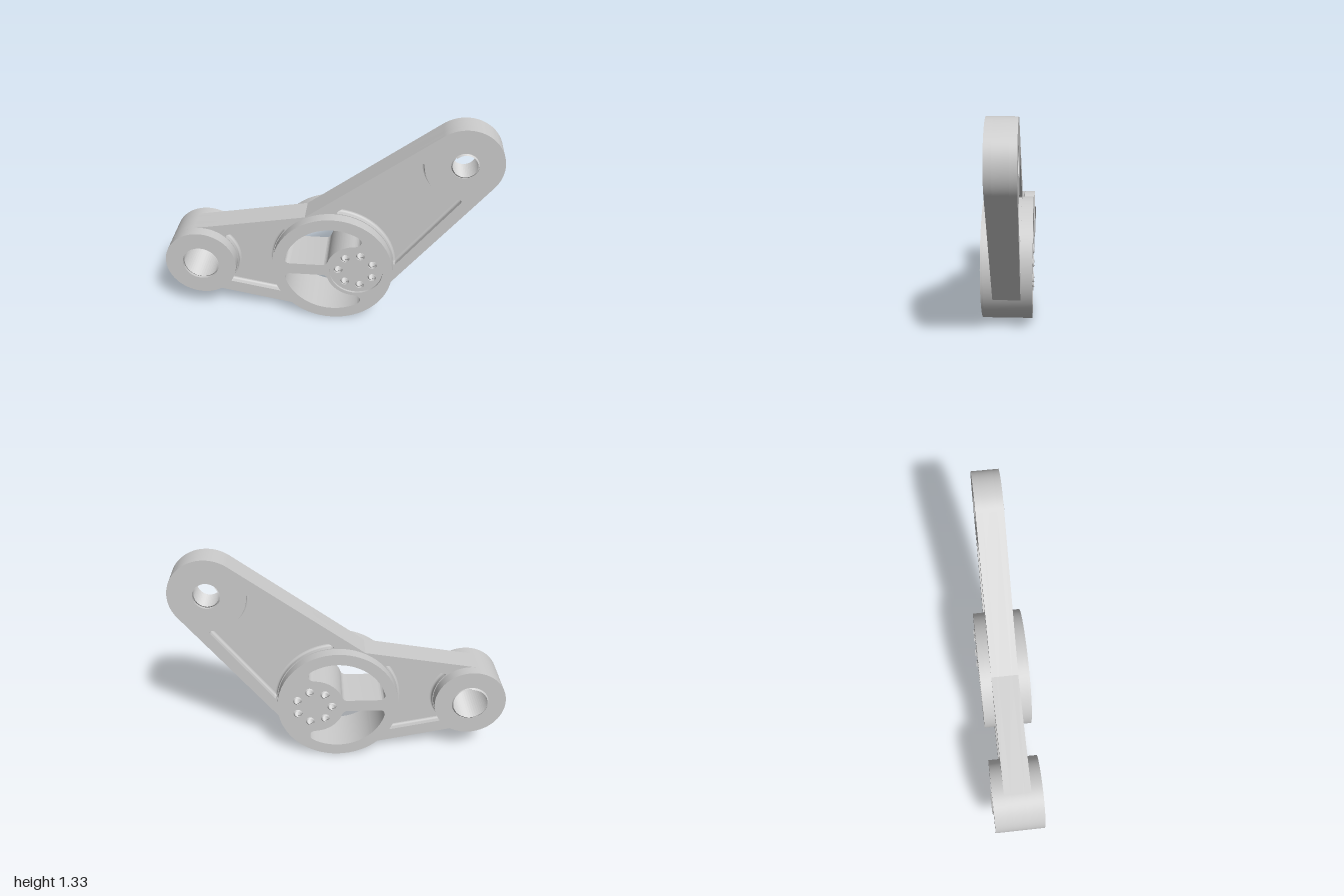
import * as THREE from 'three';
import { toCreasedNormals } from 'three/addons/utils/BufferGeometryUtils.js';

const HUB = { x: 0.035, y: 0.37, r: 0.37 };
const TALL = [-0.143, 0.155];   // hub and left boss, z range
const ARM = [-0.075, 0.087];    // arms, z range
const WEB = [-0.036, 0.048];    // thin floor between the pockets
const DISC = { x: 0.148, r: 0.163 };
const TOOTH = 0.008, PITCH = 0.014;

const steel = new THREE.MeshStandardMaterial({ color: 0xcccccc });
const thin = new THREE.MeshStandardMaterial({ color: 0xcccccc, side: THREE.DoubleSide });
const threadMat = new THREE.MeshStandardMaterial({ color: 0xcccccc, side: THREE.DoubleSide, flatShading: true });

function add(group, name, geo, mat = steel) {
  const mesh = new THREE.Mesh(geo, mat);
  mesh.name = name;
  group.add(mesh);
  return mesh;
}

function circle(x, y, r) {
  return new THREE.Shape().absarc(x, y, r, 0, Math.PI * 2, false);
}

// Flat plate between two z values
function plate(shape, holes, [z0, z1]) {
  const s = shape.clone();
  s.holes = holes;
  const geo = new THREE.ExtrudeGeometry(s, { depth: z1 - z0, bevelEnabled: false, curveSegments: 32 });
  geo.translate(0, 0, z0);
  return toCreasedNormals(geo, 0.5);
}

// Helical screw thread lining a bore; its start stands slightly proud at one end
function thread(r, [z0, z1], segments, proudFront = false) {
  const pts = [];
  const n = Math.floor((z1 - z0) / PITCH) * 2;
  for (let i = 0; i <= n; i++) pts.push(new THREE.Vector2(i % 2 ? r + TOOTH : r, i * PITCH / 2));
  const geo = new THREE.LatheGeometry(pts.reverse(), segments);
  const p = geo.attributes.position;
  const row = pts.length;
  for (let i = 0; i < p.count; i++) {
    p.setY(i, p.getY(i) + Math.floor(i / row) / segments * PITCH - 0.011);
  }
  geo.rotateX(Math.PI / 2);
  if (proudFront) geo.rotateX(Math.PI);
  geo.translate(0, 0, proudFront ? z1 : z0);
  return geo;
}

// Pocket outline in arm space: hub at the origin, boss at (d, 0)
function pocketShape(d, R2, beta) {
  const inset = 0.075, rh = HUB.r + 0.004, rb = R2 + 0.004;
  const a = Math.PI / 2 - beta - Math.acos((HUB.r - inset) / rh);
  const b = Math.PI / 2 - beta + Math.acos((R2 - inset) / rb);
  const A = new THREE.Vector2(rh * Math.cos(a), rh * Math.sin(a));
  const B = new THREE.Vector2(d + rb * Math.cos(b), rb * Math.sin(b));
  const t = 0.035 / A.distanceTo(B);
  const p = A.clone().lerp(B, t), q = B.clone().lerp(A, t);
  const s = new THREE.Shape();
  s.absarc(0, 0, rh, -a + 0.09, a - 0.09, false);
  s.quadraticCurveTo(A.x, A.y, p.x, p.y);
  s.lineTo(q.x, q.y);
  s.quadraticCurveTo(B.x, B.y, d + rb * Math.cos(b + 0.13), rb * Math.sin(b + 0.13));
  s.absarc(d, 0, rb, b + 0.13, Math.PI * 2 - b - 0.13, false);
  s.quadraticCurveTo(B.x, -B.y, q.x, -q.y);
  s.lineTo(p.x, -p.y);
  s.quadraticCurveTo(A.x, -A.y, rh * Math.cos(a - 0.09), -rh * Math.sin(a - 0.09));
  return s;
}

// Rounded strip where the pocket wall meets its floor
function fillet(shape, floor, dir) {
  const pts = shape.getPoints(12);
  if (pts[0].distanceTo(pts[pts.length - 1]) < 1e-5) pts.pop();
  const n = pts.length, f = 0.013, steps = 4, pos = [], idx = [];
  for (let k = 0; k <= steps; k++) {
    const phi = k / steps * Math.PI / 2;
    const off = f * (1 - Math.cos(phi)), h = f * (1 - Math.sin(phi)) + 0.0004;
    pts.forEach((c, i) => {
      const t = pts[(i + 1) % n].clone().sub(pts[(i + n - 1) % n]).normalize();
      pos.push(c.x + t.y * off, c.y - t.x * off, floor + dir * h);
      if (k < steps) {
        const j = (i + 1) % n, u = k * n;
        idx.push(u + i, u + j, u + n + i, u + j, u + n + j, u + n + i);
      }
    });
  }
  const geo = new THREE.BufferGeometry();
  geo.setAttribute('position', new THREE.Float32BufferAttribute(pos, 3));
  geo.setIndex(idx);
  geo.computeVertexNormals();
  return geo;
}

// Tapered arm from the hub to a round boss, pocketed on both faces
function makeArm(name, bx, by, R2, bore, bossZ, proudFront) {
  const arm = new THREE.Group();
  arm.name = name;
  arm.position.set(HUB.x, HUB.y, 0);
  arm.rotation.z = Math.atan2(by - HUB.y, bx - HUB.x);
  const d = Math.hypot(bx - HUB.x, by - HUB.y);
  const beta = Math.asin((HUB.r - R2) / d), tan = Math.PI / 2 - beta;

  const outline = new THREE.Shape();
  outline.moveTo(HUB.r * Math.cos(tan), -HUB.r * Math.sin(tan));
  outline.absarc(d, 0, R2, -tan, tan, false);
  outline.lineTo(HUB.r * Math.cos(tan), HUB.r * Math.sin(tan));
  outline.absarc(0, 0, HUB.r - 0.01, tan, -tan, true);

  const hole = circle(d, 0, bore + TOOTH);
  const pocket = pocketShape(d, R2, beta);
  add(arm, 'web', plate(outline, [hole], WEB));
  add(arm, 'frontRim', plate(outline, [hole, pocket], [WEB[1], ARM[1]]));
  add(arm, 'backRim', plate(outline, [hole, pocket], [ARM[0], WEB[0]]));
  add(arm, 'frontPocketFillet', fillet(pocket, WEB[1], 1), thin);
  add(arm, 'backPocketFillet', fillet(pocket, WEB[0], -1), thin);
  if (bossZ !== ARM) add(arm, 'boss', plate(circle(d, 0, R2), [hole], bossZ));
  add(arm, 'boreThread', thread(bore, bossZ, 48, proudFront), threadMat).position.x = d;
  return arm;
}

// Curved opening in the hub; side is 1 for upper, -1 for lower
function windowShape(side) {
  const s = new THREE.Shape();
  const deg = Math.PI / 180, R = 0.298;
  s.absarc(0, 0, R, 166 * deg, 58.7 * deg, true);
  s.quadraticCurveTo(0.178, 0.24, 0.178, 0.222);
  s.quadraticCurveTo(0.178, 0.187, 0.13, 0.184);
  s.absarc(DISC.x, 0, 0.185, 95.5 * deg, 155 * deg, false);
  s.quadraticCurveTo(-0.03, 0.038, -0.06, 0.038);
  s.lineTo(-0.255, 0.038);
  s.quadraticCurveTo(-0.288, 0.038, R * Math.cos(166 * deg), R * Math.sin(166 * deg));
  const pts = s.getPoints(24).map(p => new THREE.Vector2(p.x, p.y * side));
  return new THREE.Shape(pts);
}

// Hub with two windows, a crossbar and an offset disc of seven threaded holes
function makeHub() {
  const hub = new THREE.Group();
  hub.name = 'hub';
  hub.position.set(HUB.x, HUB.y, 0);
  const windows = [windowShape(1), windowShape(-1)];
  const discFace = TALL[1] - 0.013, r = 0.019;
  const centres = [];
  for (let i = 0; i < 7; i++) {
    const a = Math.PI + i * Math.PI * 2 / 7;
    centres.push([DISC.x + 0.11 * Math.cos(a), 0.11 * Math.sin(a)]);
  }
  const body = circle(0, 0, HUB.r);
  const screwHoles = centres.map(([x, y]) => circle(x, y, r + TOOTH));
  add(hub, 'hubBody', plate(body, [...windows, ...screwHoles], [TALL[0], discFace]));
  add(hub, 'hubFrontRim', plate(body, [...windows, circle(DISC.x, 0, DISC.r)], [discFace, TALL[1]]));
  const geo = thread(r, [TALL[0], discFace], 20);
  centres.forEach(([x, y]) => add(hub, 'screwHoleThread', geo, threadMat).position.set(x, y, 0));
  return hub;
}

export function createModel() {
  const model = new THREE.Group();
  model.name = 'bellCrank';
  model.add(makeHub());
  model.add(makeArm('shortArm', -0.78, 0.37, 0.22, 0.105, TALL, false));
  model.add(makeArm('longArm', 0.778, 1.104, 0.222, 0.071, ARM, true));
  return model;
}
